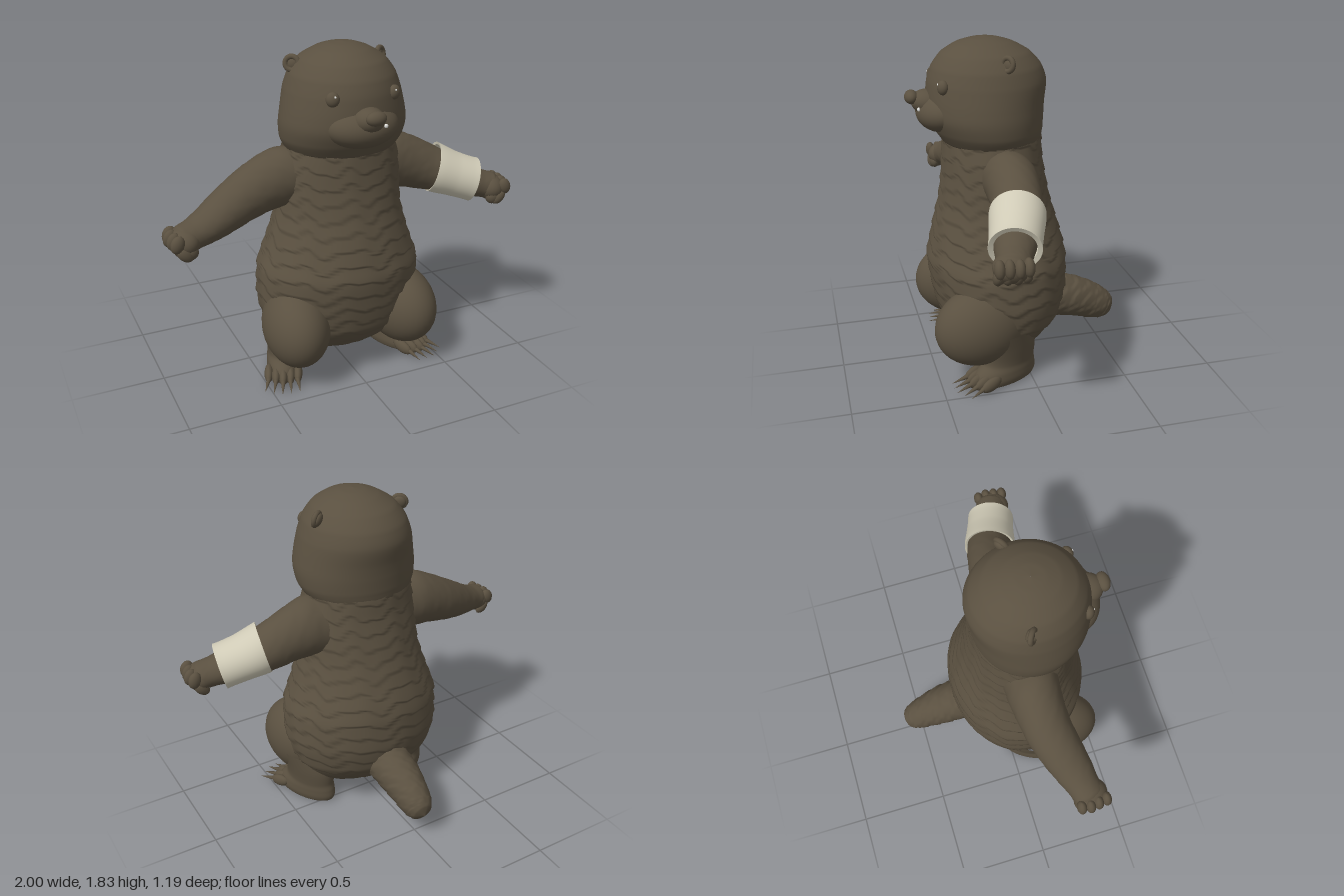
import * as THREE from 'three';

const fur = new THREE.MeshStandardMaterial({ color: 0x5a5040 });
fur.name = 'brownFur';
const cream = new THREE.MeshStandardMaterial({ color: 0xcfcab6, side: THREE.DoubleSide });
cream.name = 'creamCloth';
const white = new THREE.MeshStandardMaterial({ color: 0xeeeeea });
white.name = 'white';

const V = (x, y, z) => new THREE.Vector3(x, y, z);

// Smooth skin over stations [x, y, z, a, b]; a runs along u, b along v, and u x v points along the path.
// Shaggy skins get overlapping rows of tufts.
function loft(stations, u, v, rows = 40, sides = 40, tuft = 0, tuftRow = 0.085) {
  const centre = new THREE.CatmullRomCurve3(stations.map(s => V(s[0], s[1], s[2])));
  const radius = new THREE.CatmullRomCurve3(stations.map(s => V(s[3], s[4], 0)));
  const pos = [], index = [];
  let travelled = 0, last = null;
  for (let i = 0; i <= rows; i++) {
    const c = centre.getPoint(i / rows), r = radius.getPoint(i / rows);
    if (last) travelled += c.distanceTo(last);
    last = c;
    for (let j = 0; j < sides; j++) {
      const t = (j / sides) * Math.PI * 2;
      let k = 1;
      if (tuft) {
        const row = travelled / tuftRow + 0.22 * Math.sin(t * 9) + 0.14 * Math.sin(t * 16 + travelled * 7);
        k += tuft * (0.5 - (row - Math.floor(row)));
      }
      const p = c.clone()
        .addScaledVector(u, Math.max(r.x, 0.001) * Math.cos(t) * k)
        .addScaledVector(v, Math.max(r.y, 0.001) * Math.sin(t) * k);
      pos.push(p.x, p.y, p.z);
      if (i < rows) {
        const a = i * sides + j, b = i * sides + (j + 1) % sides;
        index.push(a, b, a + sides, b, b + sides, a + sides);
      }
    }
  }
  const g = new THREE.BufferGeometry();
  g.setAttribute('position', new THREE.Float32BufferAttribute(pos, 3));
  g.setIndex(index);
  g.computeVertexNormals();
  return g;
}

function ellipsoid(c, r, rot = [0, 0, 0], seg = 24) {
  return new THREE.SphereGeometry(1, seg, Math.ceil(seg * 0.7))
    .scale(...r)
    .applyMatrix4(new THREE.Matrix4().makeRotationFromEuler(new THREE.Euler(...rot)))
    .translate(...c);
}

// Reflects a geometry across x and restores the winding
function mirrored(geo) {
  const g = geo.clone().scale(-1, 1, 1);
  const ix = g.index.array;
  for (let i = 0; i < ix.length; i += 3) [ix[i], ix[i + 2]] = [ix[i + 2], ix[i]];
  g.computeVertexNormals();
  return g;
}

export function createModel() {
  const model = new THREE.Group();
  model.name = 'standingBear';
  const add = (name, geo, mat = fur) => {
    const m = new THREE.Mesh(geo, mat);
    m.name = name;
    model.add(m);
  };
  const pair = (name, geo, mat = fur) => {
    add('left' + name, geo, mat);
    add('right' + name, mirrored(geo), mat);
  };
  const X = V(1, 0, 0), Y = V(0, 1, 0), Z = V(0, 0, 1);
  // Upright sections: y, centre z, half width, half depth
  const upright = list => list.map(([y, z, w, d]) => [0, y, z, d, w]);

  // Torso
  add('body', loft(upright([
    [0.10, 0.10, 0, 0], [0.11, 0.10, 0.16, 0.14], [0.17, 0.10, 0.33, 0.24], [0.30, 0.10, 0.43, 0.34],
    [0.45, 0.10, 0.46, 0.375], [0.60, 0.11, 0.455, 0.385], [0.70, 0.11, 0.42, 0.37], [0.80, 0.115, 0.385, 0.345],
    [0.95, 0.12, 0.345, 0.305], [1.10, 0.125, 0.335, 0.28], [1.20, 0.13, 0.325, 0.27],
    [1.30, 0.13, 0.305, 0.265], [1.40, 0.13, 0.28, 0.25],
  ]), Z, X, 170, 112, 0.026));

  // Head, muzzle and nose
  add('head', loft(upright([
    [1.24, 0.13, 0.24, 0.22], [1.29, 0.135, 0.30, 0.265], [1.35, 0.15, 0.33, 0.29], [1.43, 0.165, 0.336, 0.31],
    [1.50, 0.165, 0.325, 0.315], [1.60, 0.155, 0.302, 0.317], [1.68, 0.155, 0.273, 0.292],
    [1.75, 0.16, 0.22, 0.235], [1.80, 0.165, 0.138, 0.15], [1.822, 0.165, 0.07, 0.075], [1.83, 0.165, 0, 0],
  ]), Z, X, 70, 56));
  add('muzzle', ellipsoid([0, 1.455, 0.38], [0.2, 0.115, 0.155], [0.15, 0, 0], 36));
  add('snout', ellipsoid([0, 1.495, 0.46], [0.085, 0.07, 0.1], [-0.25, 0, 0]));
  add('nose', ellipsoid([0, 1.53, 0.555], [0.054, 0.037, 0.036]));
  add('tooth', ellipsoid([0.068, 1.478, 0.528], [0.011, 0.011, 0.008], [0, 0, 0], 10), white);

  // Eyes with a small glint
  pair('Eye', ellipsoid([0.167, 1.608, 0.416], [0.035, 0.038, 0.028], [0, 0.4, 0]));
  pair('EyeGlint', ellipsoid([0.165, 1.625, 0.441], [0.006, 0.006, 0.004], [0, 0.4, 0], 8), white);

  // Ears: a rim around a shallow bowl
  const place = g => g.rotateY(0.65).rotateZ(0.3).translate(0.25, 1.725, 0.1);
  pair('EarRim', place(new THREE.TorusGeometry(0.034, 0.014, 10, 24)));
  pair('Ear', place(ellipsoid([0, 0, -0.012], [0.036, 0.036, 0.02])));

  // Arms, reaching outward and slightly down and forward
  const d = V(0.92, -0.25, 0.28).normalize();
  const v = V(-0.29, 0, 0.957).normalize();
  const u = v.clone().cross(d).normalize();
  pair('Arm', loft([
    [0.16, 1.12, 0.10, 0.17, 0.15], [0.30, 1.13, 0.105, 0.168, 0.15], [0.42, 1.105, 0.11, 0.148, 0.138],
    [0.54, 1.06, 0.125, 0.13, 0.128], [0.66, 1.01, 0.16, 0.112, 0.118], [0.76, 0.97, 0.195, 0.092, 0.105],
    [0.84, 0.945, 0.22, 0.078, 0.09], [0.90, 0.93, 0.238, 0.075, 0.085], [0.94, 0.92, 0.25, 0.04, 0.05],
    [0.95, 0.917, 0.253, 0, 0],
  ], u, v, 60, 36, 0.02, 0.11));

  // Closed paws: palm, four curled fingers and a thumb
  pair('Palm', ellipsoid([0.895, 0.925, 0.243], [0.08, 0.074, 0.095], [0, -0.2, -0.3]));
  for (let i = 0; i < 4; i++) {
    const z = 0.178 + i * 0.046, x = 0.962 - Math.abs(i - 1) * 0.007;
    pair('Knuckle' + i, ellipsoid([x, 0.943, z], [0.036, 0.047, 0.027], [0, 0, 0.3], 14));
    pair('Fingertip' + i, ellipsoid([x - 0.035, 0.882, z], [0.048, 0.032, 0.025], [0, 0, 0.75], 14));
  }
  pair('Thumb', ellipsoid([0.885, 0.885, 0.3], [0.045, 0.042, 0.033], [0, 0, 0.3], 14));

  // Arm band with rolled edges
  add('armBand', loft([
    [0.58, 1.055, 0.135, 0.128, 0.128], [0.575, 1.057, 0.134, 0.141, 0.141], [0.60, 1.046, 0.142, 0.138, 0.142],
    [0.69, 1.009, 0.17, 0.126, 0.134], [0.77, 0.98, 0.196, 0.123, 0.13],
    [0.80, 0.97, 0.205, 0.125, 0.13], [0.795, 0.972, 0.203, 0.10, 0.105],
  ], u, v, 40, 48), cream);

  // Haunches
  pair('Thigh', ellipsoid([0.315, 0.325, 0.265], [0.183, 0.222, 0.262], [0.1, 0.15, 0], 36));

  // Feet, turned outward
  const turn = g => g.rotateY(0.4).translate(0.345, 0, 0.15);
  pair('Foot', turn(loft([
    [0, 0.002, 0.0, 0, 0], [0, 0.003, 0.0, 0.185, 0.086], [0, 0.035, 0.0, 0.2, 0.097], [0, 0.075, -0.01, 0.187, 0.096],
    [0, 0.12, -0.03, 0.16, 0.093], [0, 0.20, -0.03, 0.165, 0.105], [0, 0.30, 0.0, 0.17, 0.12],
  ], Z, X, 36, 40)));
  for (let i = 0; i < 5; i++) {
    const x = (i - 2) * 0.04, z = 0.2 - Math.abs(i - 2) * 0.014;
    pair('Toe' + i, turn(ellipsoid([x, 0.043, z - 0.03], [0.025, 0.036, 0.065], [0.25, 0, 0], 14)));
    pair('Claw' + i, turn(new THREE.ConeGeometry(0.014, 0.1, 10)
      .rotateX(Math.PI / 2 + 0.2).rotateY((i - 2) * 0.08).translate(x * 1.08, 0.026, z + 0.065)));
  }

  // Tail, drooping backwards
  const tv = V(0, 0.94, -0.34).normalize();
  add('tail', loft([
    [0, 0.32, -0.08, 0.13, 0.13], [0, 0.30, -0.22, 0.125, 0.13], [0, 0.275, -0.34, 0.118, 0.12],
    [0, 0.235, -0.45, 0.1, 0.108], [0, 0.20, -0.53, 0.083, 0.09], [0, 0.182, -0.575, 0.056, 0.06],
    [0, 0.175, -0.598, 0, 0],
  ], X.clone().negate(), tv, 60, 40, 0.06, 0.08));

  return model;
}
